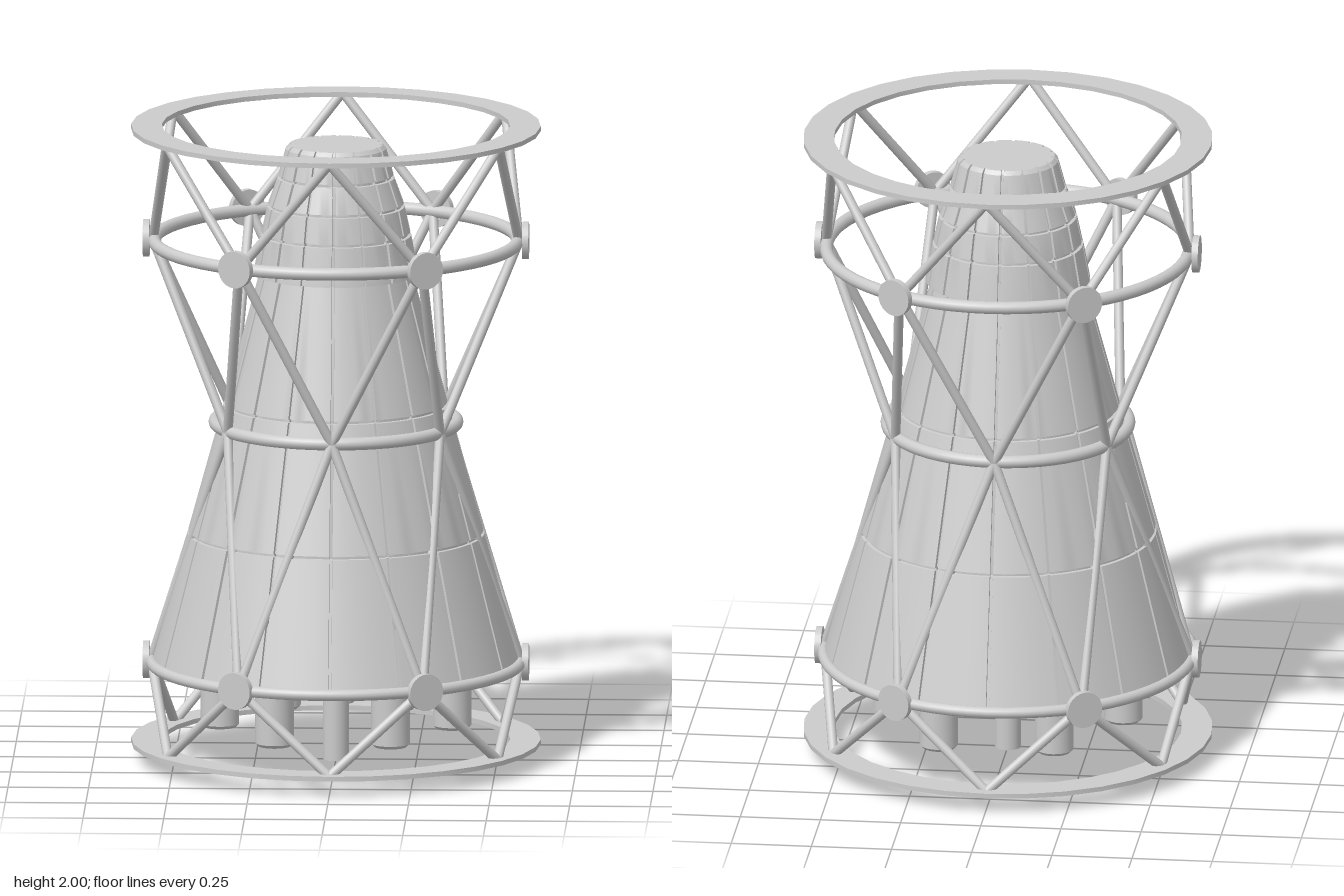
import * as THREE from 'three';
import { toCreasedNormals } from 'three/addons/utils/BufferGeometryUtils.js';

const material = new THREE.MeshStandardMaterial({ color: 0xcccccc });
const UP = new THREE.Vector3(0, 1, 0);

function add(parent, name, geometry) {
  const mesh = new THREE.Mesh(geometry, material);
  mesh.name = name;
  parent.add(mesh);
  return mesh;
}

function lathe(points, segments) {
  return new THREE.LatheGeometry(points.map(([r, y]) => new THREE.Vector2(r, y)), segments);
}

// Point on a circle; the angle is in degrees, measured from +x towards +z
function polar(radius, y, degrees) {
  const a = THREE.MathUtils.degToRad(degrees);
  return new THREE.Vector3(radius * Math.cos(a), y, radius * Math.sin(a));
}

// Round bar between two points
function strut(parent, name, a, b, radius) {
  const dir = b.clone().sub(a);
  const mesh = add(parent, name, new THREE.CylinderGeometry(radius, radius, dir.length(), 12));
  mesh.position.copy(a).add(b).multiplyScalar(0.5);
  mesh.quaternion.setFromUnitVectors(UP, dir.normalize());
}

// Tapered hull: profile with horizontal grooves, then 16 lengthwise grooves
function hullGeometry() {
  const depth = 0.009, half = 0.005, panels = 16, perPanel = 8;
  const outline = [
    [0.57, 0.31], [0.459, 0.72, 1], [0.347, 1.125, 1], [0.237, 1.535],
    [0.255, 1.535], [0.253, 1.55], [0.232, 1.66, 1], [0.212, 1.75, 1],
    [0.18, 1.84, 1], [0.156, 1.928], [0.145, 1.94],
  ];
  const profile = [[0, 0.31]];
  for (const [r, y, groove] of outline) {
    if (groove) {
      profile.push([r + 0.0015, y - half], [r - depth, y - half * 0.8],
        [r - depth, y + half * 0.8], [r - 0.0015, y + half]);
    } else profile.push([r, y]);
  }
  profile.push([0, 1.94]);

  const geometry = lathe(profile, panels * perPanel);
  const position = geometry.attributes.position;
  const step = (2 * Math.PI) / panels;
  for (let i = 0; i < position.count; i++) {
    const column = Math.floor(i / profile.length);
    const [r, y] = profile[i % profile.length];
    const k = column % perPanel;
    const w = half / Math.max(r, 0.1);
    const offset = k < 4 ? [-w, -0.8 * w, 0.8 * w, w][k] : w + (step - 2 * w) * (k - 3) / 5;
    const angle = Math.floor(column / perPanel) * step + offset;
    const radius = (k === 1 || k === 2) && r > 0.1 ? r - depth : r;
    position.setXYZ(i, radius * Math.sin(angle), y, radius * Math.cos(angle));
  }
  return toCreasedNormals(geometry, 0.4);
}

export function createModel() {
  const model = new THREE.Group();
  add(model, 'hull', hullGeometry());

  // Six outer nozzles and a longer central pipe under the hull
  const nozzle = toCreasedNormals(lathe(
    [[0, 0.1], [0.05, 0.1], [0.06, 0.11], [0.06, 0.32], [0, 0.32]], 24), 0.5);
  for (let i = 0; i < 6; i++) {
    add(model, 'nozzle', nozzle).position.copy(polar(0.36, 0, i * 60));
  }
  add(model, 'centralPipe', new THREE.CylinderGeometry(0.04, 0.04, 0.32, 24)).position.y = 0.16;

  // Flat end rings
  for (const [name, y] of [['bottomRing', 0.05], ['topRing', 1.985]]) {
    add(model, name, toCreasedNormals(lathe([[0.54, y], [0.635, y], [0.635, y + 0.015],
      [0.54, y + 0.015], [0.54, y]], 32), 0.5));
  }

  // Round hoops
  for (const [name, radius, y, tube] of [
    ['lowerHoop', 0.572, 0.31, 0.018],
    ['waistHoop', 0.375, 1.065, 0.02],
    ['upperHoop', 0.563, 1.637, 0.02],
  ]) {
    const hoop = add(model, name, new THREE.TorusGeometry(radius, tube, 12, 64));
    hoop.rotation.x = Math.PI / 2;
    hoop.position.y = y;
  }

  // Truss: joint plates every 60 degrees, bars zigzagging to points between them
  const truss = new THREE.Group();
  truss.name = 'truss';
  model.add(truss);
  for (let i = 0; i < 6; i++) {
    const angle = i * 60;
    const lower = polar(0.572, 0.31, angle);
    const upper = polar(0.567, 1.637, angle);
    for (const y of [0.31, 1.64]) {
      const plate = add(truss, 'jointPlate', new THREE.CylinderGeometry(0.058, 0.058, 0.02, 24));
      plate.position.copy(polar(0.588, y, angle));
      plate.quaternion.setFromUnitVectors(UP, polar(1, 0, angle));
    }
    for (const side of [-30, 30]) {
      const waist = polar(0.38, 1.065, angle + side);
      strut(truss, 'footStrut', polar(0.59, 0.057, angle + side), lower, 0.015);
      strut(truss, 'lowerStrut', lower, waist, 0.015);
      strut(truss, 'upperStrut', waist, upper, 0.015);
      strut(truss, 'topStrut', upper, polar(0.595, 1.99, angle + side), 0.015);
    }
  }
  return model;
}
